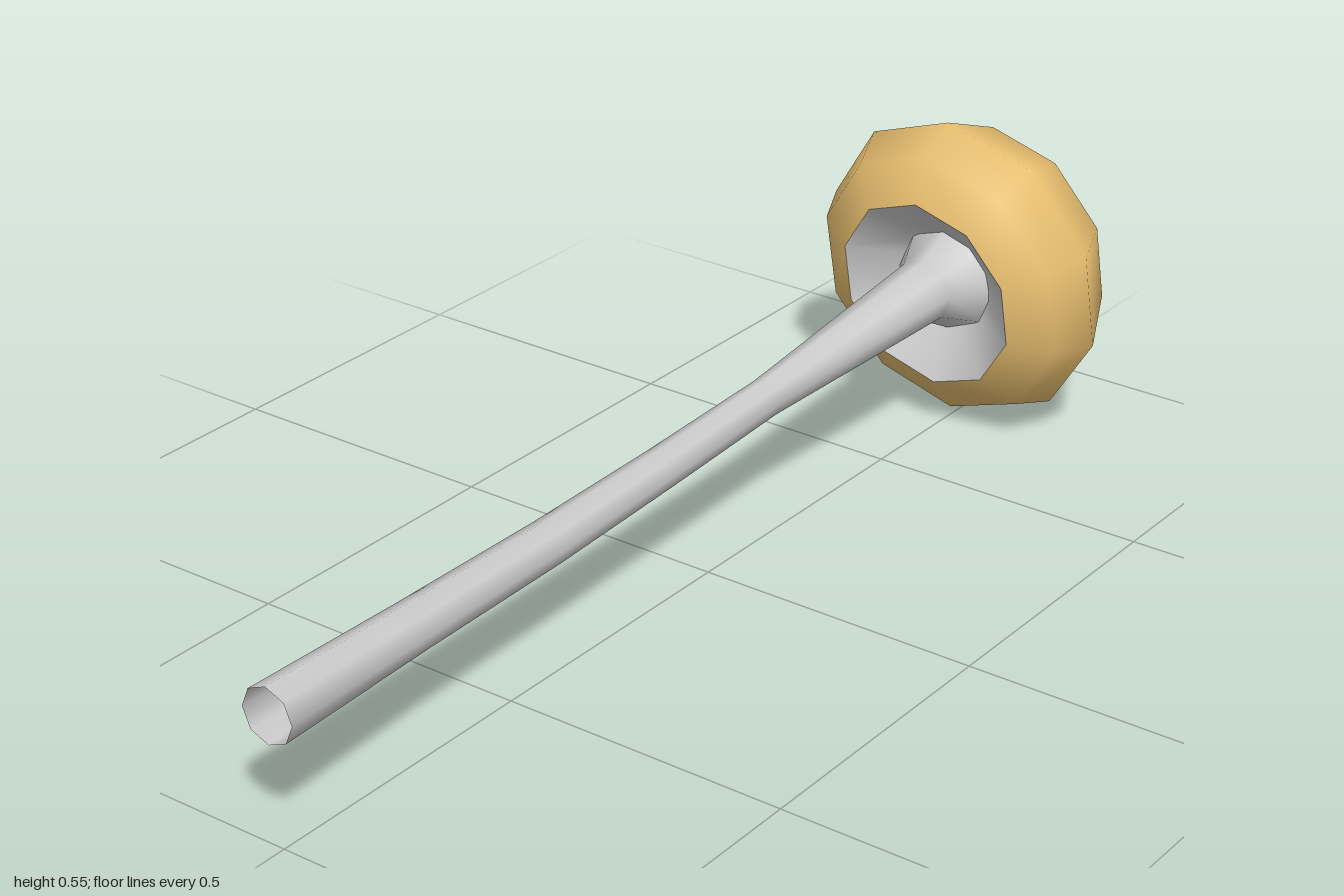
import * as THREE from 'three';
import { mergeVertices } from 'three/addons/utils/BufferGeometryUtils.js';

const CAP_SIDES = 10;
const STEM_SIDES = 8;

// Cap profiles as [radius, height along the cap axis], rim at height 0
const CAP_PROFILE = [[0.175, -0.11], [0.247, -0.07], [0.28, 0], [0.215, 0.122], [0.1, 0.212], [0, 0.26]];
const GILL_PROFILE = [[0.08, -0.035], [0.175, -0.11]];

// Stem sections as [centre x, centre y, z, radius], from the open foot to the flare under the cap
const STEM_SECTIONS = [
  [-0.017, 0.215, 1.0, 0.047],
  [-0.032, 0.205, 0.68, 0.041],
  [-0.037, 0.203, 0.36, 0.038],
  [-0.035, 0.214, 0.08, 0.035],
  [-0.033, 0.229, -0.2, 0.033],
  [-0.01, 0.271, -0.63, 0.056],
  [-0.004, 0.276, -0.705, 0.1],
];

function lathe(name, profile, material) {
  const points = profile.map(([r, h]) => new THREE.Vector2(r, h));
  const mesh = new THREE.Mesh(new THREE.LatheGeometry(points, CAP_SIDES), material);
  mesh.name = name;
  return mesh;
}

function stemGeometry() {
  const g = new THREE.CylinderGeometry(1, 1, 1, STEM_SIDES, STEM_SECTIONS.length - 1, true);
  g.rotateX(Math.PI / 2);
  const p = g.attributes.position;
  for (let i = 0; i < p.count; i++) {
    const [cx, cy, z, r] = STEM_SECTIONS[Math.floor(i / (STEM_SIDES + 1))];
    p.setXYZ(i, cx + r * p.getX(i), cy + r * p.getY(i), z);
  }
  g.deleteAttribute('uv');
  g.deleteAttribute('normal');
  const merged = mergeVertices(g);
  merged.computeVertexNormals();
  return merged;
}

export function createModel() {
  const model = new THREE.Group();
  model.name = 'mushroom';
  const pale = new THREE.MeshStandardMaterial({ color: 0xcccccc, side: THREE.DoubleSide });
  const ochre = new THREE.MeshStandardMaterial({ color: 0xecc272, side: THREE.DoubleSide });

  // Tilted cap with its hollow underside
  const head = new THREE.Group();
  head.name = 'head';
  head.add(lathe('cap', CAP_PROFILE, ochre), lathe('gills', GILL_PROFILE, pale));
  const axis = new THREE.Vector3(0.056, 0.145, -1).normalize();
  const up = new THREE.Vector3(-0.04, 1, 0);
  up.addScaledVector(axis, -up.dot(axis)).normalize();
  const side = new THREE.Vector3().crossVectors(axis, up);
  head.quaternion.setFromRotationMatrix(new THREE.Matrix4().makeBasis(side, axis, up));
  head.position.set(0, 0.28, -0.74);
  model.add(head);

  // Bent, open-ended stem
  const stem = new THREE.Mesh(stemGeometry(), pale);
  stem.name = 'stem';
  model.add(stem);

  return model;
}
